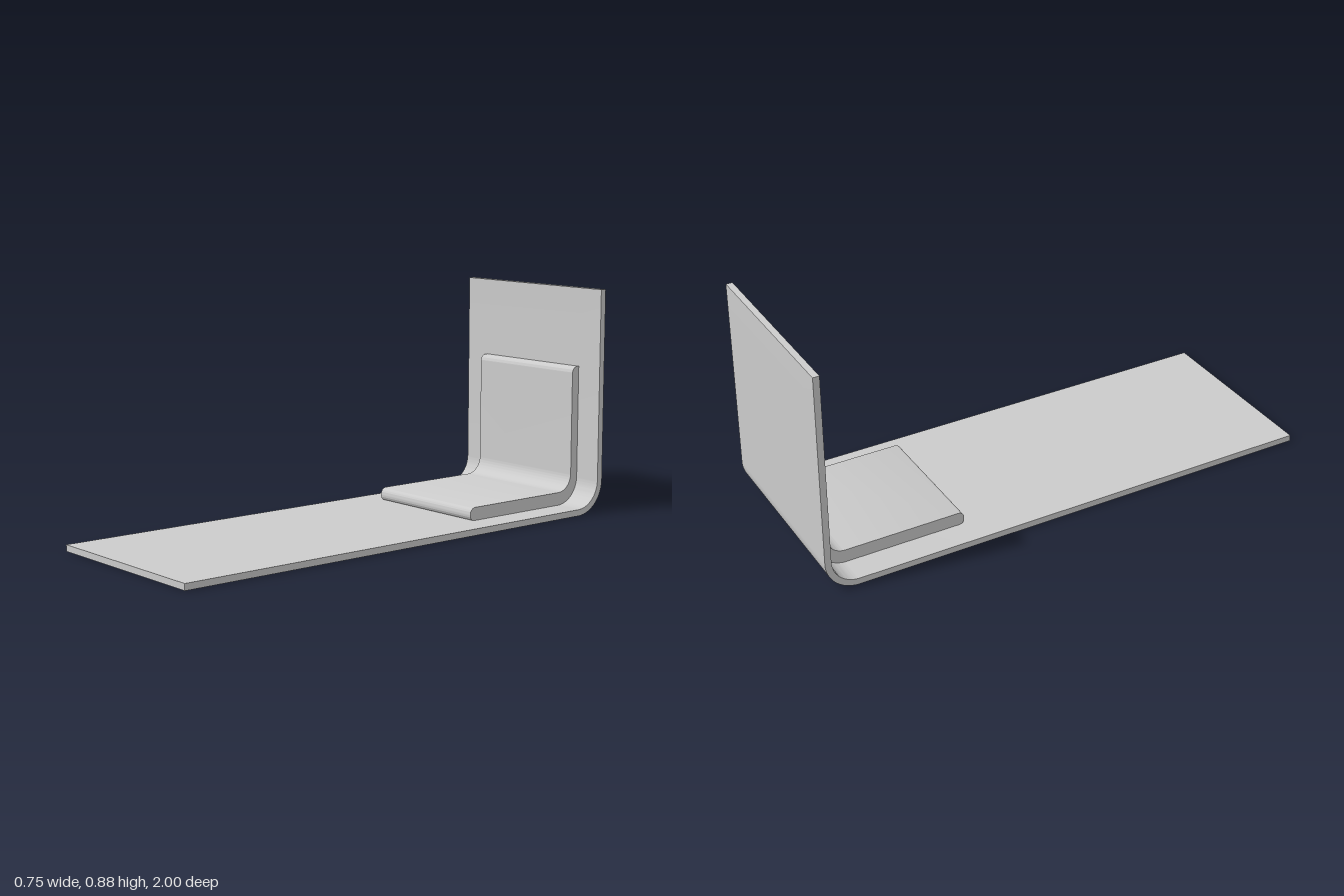
import * as THREE from 'three';
import { toCreasedNormals } from 'three/addons/utils/BufferGeometryUtils.js';

const material = new THREE.MeshStandardMaterial({ color: 0xcccccc });

// Sweep a side profile (u = -z, v = y) across x, centred
function profilePart(name, shape, width) {
  const geometry = new THREE.ExtrudeGeometry(shape, { depth: width, bevelEnabled: false, curveSegments: 16 });
  geometry.translate(0, 0, -width / 2);
  geometry.rotateY(Math.PI / 2);
  const mesh = new THREE.Mesh(toCreasedNormals(geometry, 0.5), material);
  mesh.name = name;
  return mesh;
}

export function createModel() {
  const group = new THREE.Group();
  group.name = 'bentSeat';

  const t = 0.025;      // plate thickness
  const bend = 0.13;    // outer bend radius
  const cu = 1 - bend;  // bend centre along u
  const height = 0.883;
  const quarter = Math.PI / 2;

  // Thin plate: long base curving up into the back
  const plate = new THREE.Shape();
  plate.moveTo(-1, 0);
  plate.lineTo(cu, 0);
  plate.absarc(cu, bend, bend, -quarter, 0, false);
  plate.lineTo(1, height);
  plate.lineTo(1 - t, height);
  plate.lineTo(1 - t, bend);
  plate.absarc(cu, bend, bend - t, 0, -quarter, true);
  plate.lineTo(-1, t);
  plate.closePath();
  group.add(profilePart('bentPlate', plate, 0.746));

  // Cushion lying in the bend, with rounded front and top edges
  const front = 0.395, seatTop = 0.076, backFace = 0.94, top = 0.572;
  const r = 0.025, rLow = 0.02, rIn = 0.068;
  const pad = new THREE.Shape();
  pad.moveTo(front + rLow, t);
  pad.lineTo(cu, t);
  pad.absarc(cu, bend, bend - t, -quarter, 0, false);
  pad.lineTo(1 - t, top);
  pad.lineTo(backFace + r, top);
  pad.absarc(backFace + r, top - r, r, quarter, Math.PI, false);
  pad.lineTo(backFace, seatTop + rIn);
  pad.absarc(backFace - rIn, seatTop + rIn, rIn, 0, -quarter, true);
  pad.lineTo(front + r, seatTop);
  pad.absarc(front + r, seatTop - r, r, quarter, Math.PI, false);
  pad.absarc(front + rLow, t + rLow, rLow, Math.PI, Math.PI + quarter, false);
  group.add(profilePart('cushion', pad, 0.522));

  return group;
}
